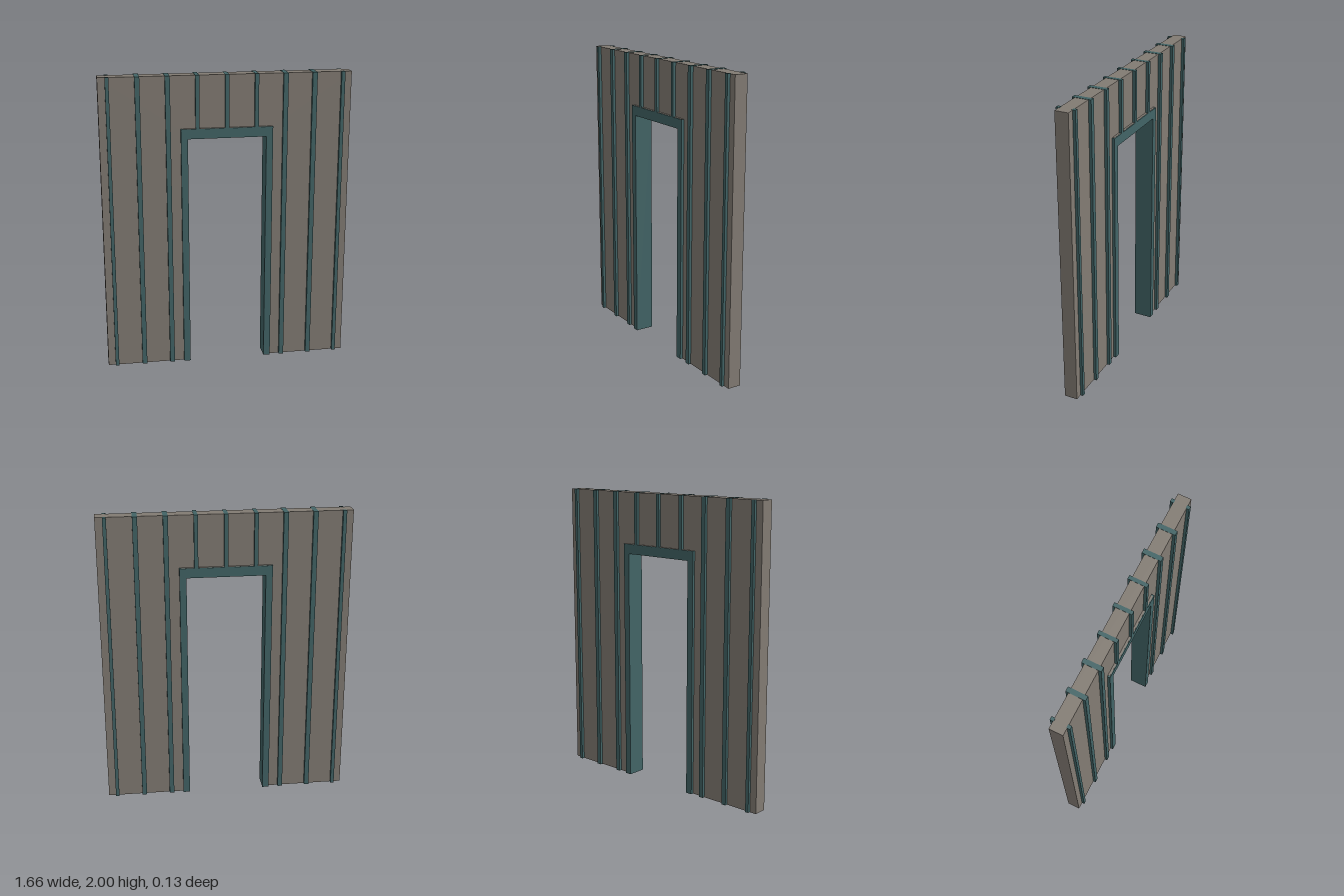
import * as THREE from 'three';

export function createModel() {
  const model = new THREE.Group();
  model.name = 'panelledDoorway';
  const grey = new THREE.MeshStandardMaterial({ name: 'warmGreyPanel', color: 0x827b73 });
  const teal = new THREE.MeshStandardMaterial({ name: 'darkTealTrim', color: 0x426466 });

  const H = 2, halfW = 0.83, wallZ = 0.045, trimZ = 0.064;
  const doorIn = 0.26, doorOut = 0.305, lintelLow = 1.585, lintelTop = 1.65;

  // Upright arch outline with an open foot, extruded about z = 0
  function arch(name, outer, top, inner, innerTop, halfDepth, material) {
    const s = new THREE.Shape([
      [-outer, 0], [-inner, 0], [-inner, innerTop], [inner, innerTop],
      [inner, 0], [outer, 0], [outer, top], [-outer, top],
    ].map(([x, y]) => new THREE.Vector2(x, y)));
    const g = new THREE.ExtrudeGeometry(s, { depth: halfDepth * 2, bevelEnabled: false });
    g.translate(0, 0, -halfDepth);
    const m = new THREE.Mesh(g, material);
    m.name = name;
    model.add(m);
  }

  // Box given by its limits
  function box(name, x0, x1, y0, y1, z0, z1, material) {
    const m = new THREE.Mesh(new THREE.BoxGeometry(x1 - x0, y1 - y0, z1 - z0), material);
    m.position.set((x0 + x1) / 2, (y0 + y1) / 2, (z0 + z1) / 2);
    m.name = name;
    model.add(m);
  }

  // Wall and door frame
  arch('wall', halfW, H - 0.002, doorOut - 0.01, lintelTop - 0.01, wallZ, grey);
  arch('doorFrame', doorOut, lintelTop, doorIn, lintelLow, trimZ, teal);

  // Vertical battens on both faces; all but the outermost wrap over the top
  for (const x of [-0.77, -0.58, -0.387, -0.195, 0, 0.195, 0.387, 0.58, 0.77]) {
    const w = Math.abs(x) > 0.7 ? 0.012 : Math.abs(x) < 0.3 ? 0.013 : 0.016;
    const foot = Math.abs(x) < doorOut ? lintelTop : 0;
    for (const s of [-1, 1]) {
      const a = s * (wallZ - 0.005), b = s * trimZ;
      box('batten', x - w, x + w, foot, H, Math.min(a, b), Math.max(a, b), teal);
    }
    if (Math.abs(x) < 0.7) box('battenCap', x - w, x + w, H - 0.006, H, -wallZ, wallZ, teal);
  }

  // Thin grey ledges on top of the lintel
  for (const s of [-1, 1]) {
    const z = s * 0.0515;
    box('lintelLedge', -doorOut + 0.01, doorOut - 0.01, lintelTop - 0.002, lintelTop + 0.002, z - 0.0075, z + 0.0075, grey);
  }
  return model;
}
